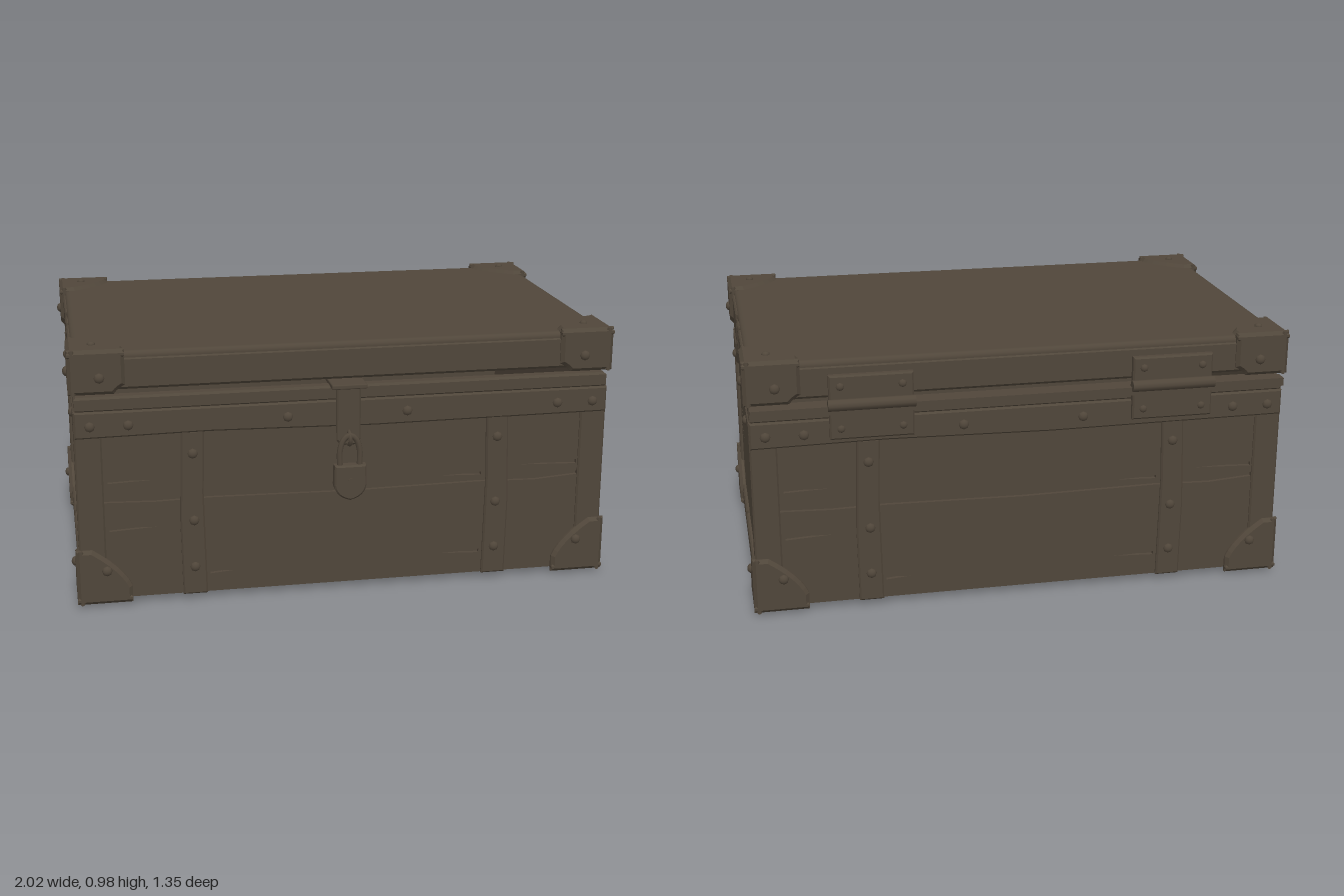
import * as THREE from 'three';
import { mergeGeometries } from 'three/addons/utils/BufferGeometryUtils.js';
import { RoundedBoxGeometry } from 'three/addons/geometries/RoundedBoxGeometry.js';

const HX = 0.98, HZ = 0.615; // half sizes to the outside of the straps

const toShape = (pts) => new THREE.Shape(pts.map(([x, y]) => new THREE.Vector2(x, y)));
const rect = (x0, y0, x1, y1) => [[x0, y0], [x1, y0], [x1, y1], [x0, y1]];

// Plate of thickness d whose front surface lies at z = 0, with a chamfer b
function plate(shape, d, b = 0.006, holes = []) {
  if (Array.isArray(shape)) shape = toShape(shape);
  holes.forEach((h) => shape.holes.push(toShape(h)));
  return new THREE.ExtrudeGeometry(shape, {
    depth: d - 2 * b, bevelEnabled: b > 0, bevelThickness: b, bevelSize: b,
    bevelOffset: -b, bevelSegments: 1, curveSegments: 6,
  }).translate(0, 0, b - d);
}

// Tapered split in the wood, wide at x0
const split = (x0, x1, y, t) => [[x0, y - t], [(x0 + x1) / 2, y - t * 0.5], [x1, y], [(x0 + x1) / 2, y + t * 0.3], [x0, y + t]];

// Mirror a non-indexed geometry and repair its winding
function mirrored(geo, sx, sy, sz) {
  const g = geo.clone().applyMatrix4(new THREE.Matrix4().makeScale(sx, sy, sz));
  if (sx * sy * sz < 0) {
    for (const attr of Object.values(g.attributes)) {
      const n = attr.itemSize, a = attr.array;
      for (let i = 0; i < a.length; i += 3 * n)
        for (let k = 0; k < n; k++) [a[i + n + k], a[i + 2 * n + k]] = [a[i + 2 * n + k], a[i + n + k]];
    }
  }
  return g;
}

function rivet(x, y, z = 0, r = 0.019) {
  return new THREE.SphereGeometry(r, 8, 4, 0, Math.PI * 2, 0, Math.PI / 2)
    .toNonIndexed().rotateX(Math.PI / 2).scale(1, 1, 0.75).translate(x, y, z);
}

// Quarter-round shape from the corner outwards; k is how square it is
function quarter(dir, w, h, k) {
  const s = new THREE.Shape();
  s.moveTo(0, 0); s.lineTo(dir * w, 0); s.lineTo(dir * w, h * k);
  s.quadraticCurveTo(dir * w * 0.86, h * (k + 1) * 0.49, dir * w * k, h);
  s.lineTo(0, h); s.lineTo(0, 0);
  return s;
}

// Three-sided metal corner at +x, +z with its point at y = 0
function cornerGeometry(h, k) {
  const w = 0.2, d = 0.035, b = 0.013, X = 0.995, Z = 0.63;
  const ry = h * 0.62;
  const front = mergeGeometries([plate(quarter(-1, w, h, k), d, b), rivet(-0.11, ry)]).translate(X, 0, Z);
  const side = mergeGeometries([plate(quarter(1, w + 0.01, h, k), d, b), rivet(0.12, ry)])
    .rotateY(Math.PI / 2).translate(X, 0, Z);
  const cap = mirrored(mergeGeometries([plate(quarter(-1, w, w + 0.01, 0.3), d, b), rivet(-0.09, 0.09, 0, 0.015)])
    .rotateX(-Math.PI / 2), 1, -1, 1).translate(X, 0, Z);
  return mergeGeometries([front, side, cap]);
}

// Rectangular ring standing on y0
function ring(x, z, t, y0, y1, b) {
  return plate(rect(-x, -z, x, z), y1 - y0, b, [rect(-x + t, -z + t, x - t, z - t)])
    .rotateX(-Math.PI / 2).translate(0, y1, 0);
}

export function createModel() {
  const model = new THREE.Group();
  const brown = new THREE.MeshStandardMaterial({ color: 0x50463a });
  brown.name = 'weatheredBrown';
  const chest = new THREE.Group();
  chest.name = 'chest';
  chest.position.z = -0.01;
  model.add(chest);
  const add = (name, geo, parent = chest) => {
    const m = new THREE.Mesh(geo, brown);
    m.name = name;
    parent.add(m);
    return m;
  };

  // Hollow body and floor
  add('bodyWalls', ring(0.955, 0.59, 0.05, 0.02, 0.77, 0));
  add('floor', new THREE.BoxGeometry(1.93, 0.05, 1.2).translate(0, 0.037, 0));
  add('bodyRim', ring(HX - 0.003, HZ + 0.002, 0.05, 0.725, 0.78, 0.008));

  // Long sides: planks, bands, straps and rivets
  for (const s of [1, -1]) {
    const side = new THREE.Group();
    side.name = s > 0 ? 'frontSide' : 'backSide';
    side.rotation.y = s > 0 ? 0 : Math.PI;
    chest.add(side);
    const z = HZ;
    const lower = [[-0.97, 0.015], [-0.4, 0.02], [0, 0.028], [0.4, 0.02], [0.97, 0.015], [0.97, 0.39],
      [0.72, 0.372], [0.5, 0.378], [0, 0.372], [-0.5, 0.38], [-0.7, 0.376], [-0.97, 0.385]];
    const upper = [[-0.97, 0.42], [-0.7, 0.392], [-0.5, 0.388], [0, 0.38], [0.5, 0.386], [0.72, 0.382],
      [0.97, 0.41], [0.97, 0.74], [-0.97, 0.74]];
    add('lowerPlank', plate(lower, 0.025, 0, [split(-0.87, -0.7, 0.28, 0.009), split(-0.51, -0.42, 0.09, 0.007),
      split(0.51, 0.35, 0.1, 0.007)]).translate(0, 0, z - 0.01), side);
    add('upperPlank', plate(upper, 0.025, 0, [split(0.88, 0.66, 0.435, 0.008), split(0.51, 0.35, 0.41, 0.006),
      split(-0.87, -0.7, 0.46, 0.006)]).translate(0, 0, z - 0.01), side);
    add('topBand', plate([[-HX, 0.63], [-0.5, 0.636], [0.1, 0.626], [HX, 0.632], [HX, 0.728], [-HX, 0.728]], 0.03)
      .translate(0, 0, z + 0.008), side);
    for (const m of [1, -1]) {
      add('strap', plate([[m * 0.52, 0.012], [m * 0.61, 0.012], [m * 0.615, 0.3], [m * 0.605, 0.64], [m * 0.522, 0.64],
        [m * 0.528, 0.4]], 0.02).translate(0, 0, z + 0.003), side);
      add('cornerStrap', plate(rect(Math.min(m * 0.885, m * HX), 0.1, Math.max(m * 0.885, m * HX), 0.64), 0.03)
        .translate(0, 0, z), side);
      for (const y of [0.12, 0.3, 0.555]) add('strapRivet', rivet(m * 0.565, y, z + 0.002), side);
      for (const x of [0.925, 0.79, 0.22]) add('bandRivet', rivet(m * x, 0.675, z + 0.007), side);
    }
  }
  add('backRimBoard', new THREE.BoxGeometry(1.95, 0.03, 0.05).translate(0, 0.765, -0.62));

  // Short sides: boards with splits, brackets at the corners and a bottom trim
  for (const s of [1, -1]) {
    const end = new THREE.Group();
    end.name = s > 0 ? 'leftEnd' : 'rightEnd';
    end.rotation.y = s * Math.PI / 2;
    chest.add(end);
    const z = HX;
    add('endBoard', plate(rect(-0.605, 0.015, 0.605, 0.74), 0.02, 0, [split(0.5, 0.22, 0.45, 0.008),
      split(-0.4, -0.12, 0.438, 0.006), split(-0.5, -0.22, 0.34, 0.005), split(0, 0.18, 0.725, 0.005)])
      .translate(0, 0, z - 0.01), end);
    add('bottomTrim', plate([[-0.43, 0.012], [0.43, 0.012], [0.43, 0.09], [0.12, 0.092], [0.12, 0.08],
      [-0.13, 0.08], [-0.13, 0.092], [-0.43, 0.088]], 0.02).translate(0, 0, z + 0.004), end);
    for (const m of [1, -1]) {
      add('endBracket', plate([[m * HZ, 0.1], [m * HZ, 0.728], [m * 0.38, 0.728], [m * 0.4, 0.68], [m * 0.44, 0.625],
        [m * 0.51, 0.62], [m * 0.51, 0.1]], 0.02).translate(0, 0, z + 0.002), end);
      add('bracketRivet', rivet(m * 0.42, 0.675, z + 0.001), end);
    }
  }

  // Lid: frame, top panel and short splits on its ends
  const lid = new THREE.Group();
  lid.name = 'lid';
  chest.add(lid);
  add('lidFrame', ring(HX, HZ - 0.002, 0.05, 0.803, 0.922, 0.01), lid);
  add('lidPanel', new RoundedBoxGeometry(1.952, 0.09, 1.216, 2, 0.02).translate(0, 0.895, 0), lid);
  for (const s of [1, -1]) {
    for (const [u, w] of [[-0.24, 0.3], [0.05, 0.09], [0.27, 0.28]])
      add('lidEndBoard', plate(rect(u - w / 2, 0.81, u + w / 2, 0.928), 0.02, 0.005)
        .rotateY(s * Math.PI / 2).translate(s * (HX + 0.003), 0, 0), lid);
  }

  // Metal corners, four below and four on the lid
  const lowCorner = cornerGeometry(0.21, 0.3);
  const lidCorner = mirrored(cornerGeometry(0.162, 0.8), 1, -1, 1).translate(0, 0.953, 0);
  for (const sx of [1, -1]) for (const sz of [1, -1]) {
    add('bodyCorner', mirrored(lowCorner, sx, 1, sz));
    add('lidCorner', mirrored(lidCorner, sx, 1, sz), lid);
  }

  // Hinges on the back
  for (const x of [0.55, -0.55]) {
    const hinge = new THREE.Group();
    hinge.name = 'hinge';
    hinge.position.set(x, 0, -HZ);
    hinge.rotation.y = Math.PI;
    chest.add(hinge);
    add('bodyLeaf', plate(rect(-0.15, 0.655, 0.15, 0.78), 0.03).translate(0, 0, 0.027), hinge);
    add('lidLeaf', plate(rect(-0.15, 0.79, 0.15, 0.89), 0.03).translate(0, 0, 0.025), hinge);
    add('hingePin', new THREE.CylinderGeometry(0.021, 0.021, 0.31, 10).rotateZ(Math.PI / 2).translate(0, 0.785, 0.03), hinge);
    for (const u of [-0.11, 0.11]) for (const y of [0.695, 0.85]) add('hingeRivet', rivet(u, y, 0.024, 0.015), hinge);
  }

  // Hasp folded over the rim
  add('hasp', plate([[-0.045, 0.58], [-0.03, 0.56], [0.03, 0.56], [0.045, 0.58], [0.045, 0.78], [-0.045, 0.78]], 0.02)
    .translate(0, 0, HZ + 0.022));
  add('haspTop', new RoundedBoxGeometry(0.13, 0.018, 0.13, 1, 0.005).translate(0, 0.783, 0.59));
  add('staple', new THREE.TorusGeometry(0.024, 0.008, 6, 12).rotateY(Math.PI / 2).translate(0, 0.59, HZ + 0.03));

  // Padlock with shackle and keyhole
  const lock = new THREE.Group();
  lock.name = 'padlock';
  chest.add(lock);
  const body = new THREE.Shape();
  body.moveTo(-0.058, 0.495); body.lineTo(-0.06, 0.42);
  body.quadraticCurveTo(-0.055, 0.375, 0, 0.362);
  body.quadraticCurveTo(0.055, 0.375, 0.06, 0.42);
  body.lineTo(0.058, 0.495);
  add('lockBody', plate(body, 0.042, 0.006).translate(0, 0, 0.68), lock);
  const path = new THREE.CatmullRomCurve3([[-0.036, 0.48], [-0.036, 0.55], [-0.022, 0.59], [0, 0.605], [0.022, 0.59],
    [0.036, 0.55], [0.036, 0.48]].map(([x, y]) => new THREE.Vector3(x, y, 0.66)));
  add('shackle', new THREE.TubeGeometry(path, 20, 0.011, 7), lock);
  add('keyholeRound', new THREE.CylinderGeometry(0.012, 0.012, 0.006, 10).rotateX(Math.PI / 2).translate(0, 0.435, 0.681), lock);
  add('keyholeSlot', new THREE.BoxGeometry(0.01, 0.035, 0.006).translate(0, 0.415, 0.681), lock);

  return model;
}
